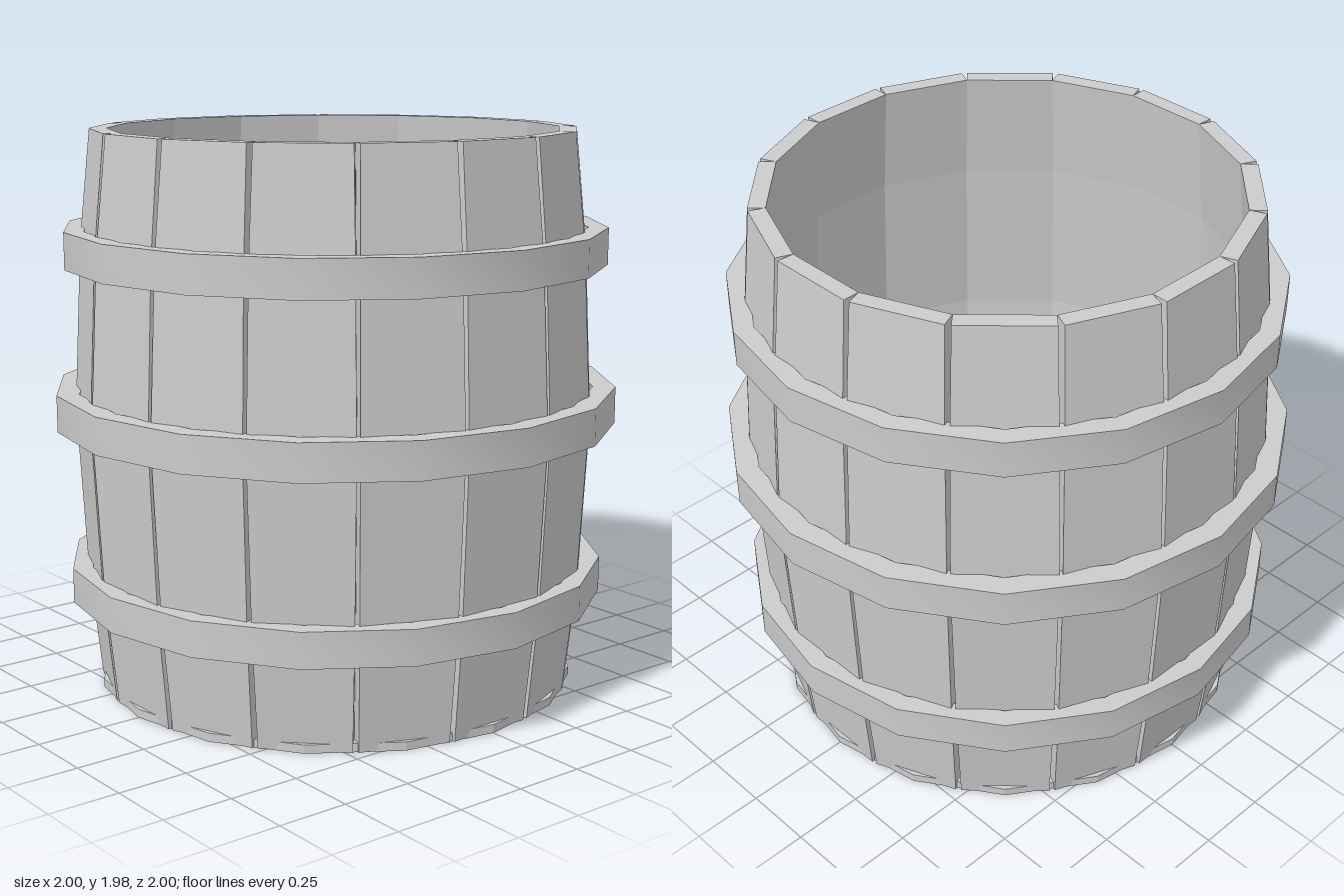
import * as THREE from 'three';
import { toCreasedNormals } from 'three/addons/utils/BufferGeometryUtils.js';

const SIDES = 16;
const HALF = Math.PI / SIDES;
const material = new THREE.MeshStandardMaterial({ color: 0xcccccc });
const flatMaterial = new THREE.MeshStandardMaterial({ color: 0xcccccc, flatShading: true });

// Bulging stave: rows of [height, outer distance from the axis, chamfer at the joint]
const ROWS = [
  [0.002, 0.84, 0.01],
  [0.39, 0.88, 0.008],
  [0.99, 0.91, 0.006],
  [1.59, 0.88, 0.008],
  [1.98, 0.84, 0.01],
];
const THICKNESS = 0.06;

// One plank facing +z; inner edges meet the neighbours, outer edges leave a V groove
function staveGeometry() {
  const positions = [], index = [];
  for (const [y, outer, chamfer] of ROWS) {
    const inner = outer - THICKNESS;
    const wo = outer * Math.tan(HALF) - chamfer;
    const wi = inner * Math.tan(HALF);
    positions.push(-wo, y, outer, wo, y, outer, wi, y, inner, -wi, y, inner);
  }
  for (let r = 0; r < ROWS.length - 1; r++) {
    for (let i = 0; i < 4; i++) {
      const a = r * 4 + i, b = r * 4 + (i + 1) % 4;
      index.push(a, b, b + 4, a, b + 4, a + 4);
    }
  }
  const t = (ROWS.length - 1) * 4;
  index.push(t, t + 1, t + 2, t, t + 2, t + 3, 0, 2, 1, 0, 3, 2);
  const indexed = new THREE.BufferGeometry();
  indexed.setAttribute('position', new THREE.Float32BufferAttribute(positions, 3));
  indexed.setIndex(index);
  const geometry = indexed.toNonIndexed();
  geometry.computeVertexNormals();
  return geometry;
}

// Band with a rectangular section, smooth around and sharp at its rims
function hoop(name, y0, y1, inner, outer) {
  const profile = [[outer, y0], [outer, y1], [inner, y1], [inner, y0], [outer, y0]]
    .map(([r, y]) => new THREE.Vector2(r, y));
  const mesh = new THREE.Mesh(toCreasedNormals(new THREE.LatheGeometry(profile, SIDES), 0.6), material);
  mesh.name = name;
  return mesh;
}

export function createModel() {
  const barrel = new THREE.Group();
  barrel.name = 'barrel';

  // Ring of staves
  const staves = new THREE.Group();
  staves.name = 'staves';
  const plank = staveGeometry();
  for (let i = 0; i < SIDES; i++) {
    const stave = new THREE.Mesh(plank, flatMaterial);
    stave.name = 'stave';
    stave.rotation.y = i * 2 * HALF;
    staves.add(stave);
  }
  barrel.add(staves);

  // Hoops
  barrel.add(
    hoop('lowerHoop', 0.325, 0.45, 0.89, 0.96),
    hoop('middleHoop', 0.945, 1.075, 0.92, 1),
    hoop('upperHoop', 1.51, 1.64, 0.89, 0.96),
  );

  // Floor disc, its corners just showing through the staves
  const floor = new THREE.Mesh(new THREE.CylinderGeometry(0.86, 0.86, 0.03, SIDES), flatMaterial);
  floor.name = 'floor';
  floor.position.y = 0.015;
  barrel.add(floor);

  return barrel;
}
